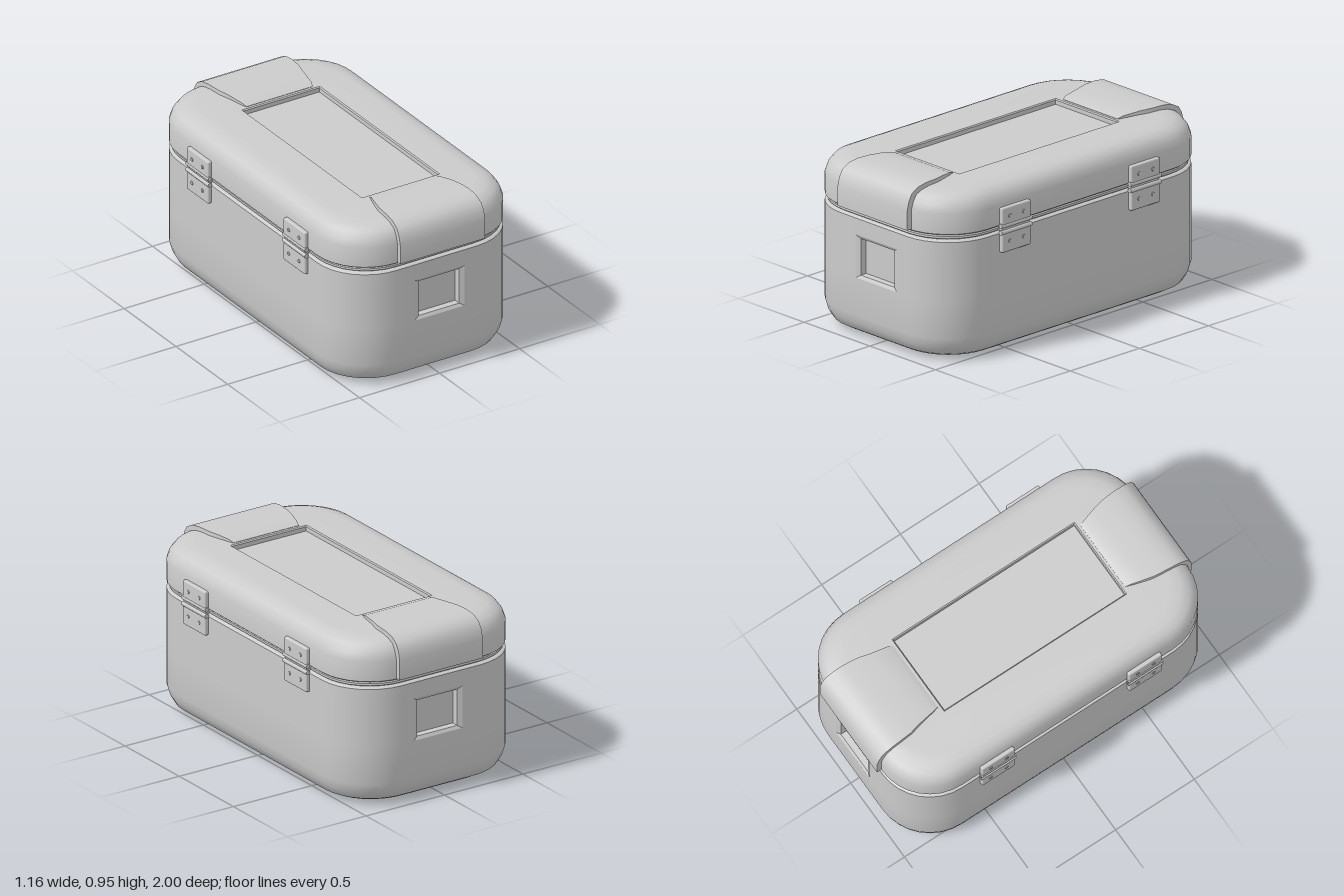
import * as THREE from 'three';
import { mergeGeometries, toCreasedNormals } from 'three/addons/utils/BufferGeometryUtils.js';
import { RoundedBoxGeometry } from 'three/addons/geometries/RoundedBoxGeometry.js';

const HX = 0.553, HZ = 0.972, R = 0.3;          // plan half sizes and corner radius
const CX = 0.02;                                // centre line of pockets and end covers
const FRAME = { w: 0.155, h: 0.12, y: 0.46 };   // half sizes and height of the end pockets
const SEG = 8;
const mat = new THREE.MeshStandardMaterial({ color: 0xcccccc, roughness: 0.8, side: THREE.DoubleSide });

function mesh(geo, name, x = 0, y = 0, z = 0) {
  const m = new THREE.Mesh(geo, mat);
  m.name = name;
  m.position.set(x, y, z);
  return m;
}

// Skin closed rings of points; optional end caps and skipped quads
function loft(rings, { start = false, end = false, skip = () => false } = {}) {
  const pos = [], n = rings[0].length;
  const tri = (...p) => p.forEach(v => pos.push(v.x, v.y, v.z));
  for (let i = 0; i < rings.length - 1; i++) {
    for (let j = 0; j < n; j++) {
      if (skip(i, j)) continue;
      const k = (j + 1) % n, a = rings[i][j], b = rings[i][k], c = rings[i + 1][k], d = rings[i + 1][j];
      tri(a, b, c);
      tri(a, c, d);
    }
  }
  const cap = (ring, flip) => {
    const mid = ring.reduce((s, p) => s.add(p), new THREE.Vector3()).divideScalar(n);
    ring.forEach((p, j) => {
      const q = ring[(j + 1) % n];
      flip ? tri(mid, q, p) : tri(mid, p, q);
    });
  };
  if (start) cap(rings[0], true);
  if (end) cap(rings[rings.length - 1], false);
  const g = new THREE.BufferGeometry();
  g.setAttribute('position', new THREE.Float32BufferAttribute(pos, 3));
  return g;
}

// Rounded-rectangle plan, with extra points on the ends at the pocket edges
function planRing(inset, y) {
  const hx = HX - inset, hz = HZ - inset, r = R - inset * 0.5, pts = [];
  const signs = [[1, -1], [-1, -1], [-1, 1], [1, 1]];
  signs.forEach(([sx, sz], c) => {
    for (let i = 0; i <= SEG; i++) {
      const a = (c + i / SEG) * Math.PI / 2;
      pts.push(new THREE.Vector3(sx * (hx - r) + r * Math.cos(a), y, sz * (hz - r) - r * Math.sin(a)));
    }
    if (c % 2 === 0) {
      for (const s of [sx, -sx]) pts.push(new THREE.Vector3(CX + s * FRAME.w, y, sz * hz));
    }
  });
  return pts;
}

// Rectangular recess opening towards +z; steps are [halfWidth, halfHeight, z]
function pocket(steps, name) {
  const rings = steps.map(([w, h, z]) =>
    [[-w, -h], [w, -h], [w, h], [-w, h]].map(([x, y]) => new THREE.Vector3(x, y, z)));
  return mesh(toCreasedNormals(loft(rings, { end: true }), 0.3), name);
}

function makeBody() {
  const g = new THREE.Group();
  g.name = 'body';
  const profile = [[0.12, 0], [0.075, 0.012], [0.035, 0.035], [0.012, 0.08], [0, 0.13],
    [0, FRAME.y - FRAME.h], [0, FRAME.y + FRAME.h], [0, 0.672], [0.008, 0.68], [0.035, 0.683]];
  const shell = loft(profile.map(p => planRing(...p)), {
    start: true, skip: (i, j) => i === 5 && (j === SEG + 1 || j === 3 * SEG + 5)
  });
  g.add(mesh(toCreasedNormals(shell, 0.7), 'tub'));
  for (const s of [1, -1]) {
    const p = pocket([[FRAME.w, FRAME.h, 0], [0.1275, 0.1025, -0.01], [0.124, 0.1, -0.045]], 'endPocket');
    p.position.set(CX, FRAME.y, s * HZ);
    if (s < 0) p.rotation.y = Math.PI;
    g.add(p);
  }
  // Recessed seal between tub and lid
  const seal = [[0.03, 0.675], [0.012, 0.688], [0.012, 0.7], [0.03, 0.715]].map(p => planRing(...p));
  g.add(mesh(toCreasedNormals(loft(seal), 0.5), 'seal'));
  return g;
}

// Cover wrapped over the lid end, narrowing towards the middle
function makeEndCover(innerZ, shift) {
  const profile = [[1, 0.72, 0.265], [1, 0.83, 0.265], [0.988, 0.88, 0.265], [0.965, 0.918, 0.264],
    [0.92, 0.942, 0.262], [0.86, 0.952, 0.26], [0.78, 0.952, 0.253], [0.71, 0.95, 0.236],
    [innerZ + 0.03, 0.943, 0.217], [innerZ, 0.932, 0.208]];
  const rings = profile.map(([z, y, w]) => {
    const zi = innerZ + (z - innerZ) * 0.8, yi = 0.72 + (y - 0.72) * 0.75;
    return [[w, y, z], [w, yi, zi], [-w, yi, zi], [-w, y, z]].map(p => new THREE.Vector3(...p));
  });
  return mesh(toCreasedNormals(loft(rings, { start: true, end: true }), 0.6), 'endCover', shift);
}

function makeLid() {
  const g = new THREE.Group();
  g.name = 'lid';
  const profile = [[0.04, 0.708], [0.008, 0.71], [0, 0.717], [0, 0.83], [0.012, 0.87], [0.035, 0.905],
    [0.075, 0.922], [0.12, 0.93]];
  const rings = profile.map(p => planRing(...p));
  // Top panel with an opening for the tray
  const [w, l, cx, cz] = [0.243, 0.58, 0.017, 0.02];
  const shape = new THREE.Shape(rings[rings.length - 1].map(p => new THREE.Vector2(p.x, -p.z)));
  shape.holes.push(new THREE.Path([[-w, -l], [-w, l], [w, l], [w, -l]].map(([x, y]) =>
    new THREE.Vector2(cx + x, y - cz))));
  const top = new THREE.ShapeGeometry(shape).toNonIndexed();
  top.rotateX(-Math.PI / 2).translate(0, 0.93, 0);
  top.deleteAttribute('normal');
  top.deleteAttribute('uv');
  g.add(mesh(toCreasedNormals(mergeGeometries([loft(rings), top]), 0.7), 'lidShell'));

  const tray = pocket([[w, l, 0], [w - 0.006, l - 0.006, -0.006], [w - 0.006, l - 0.006, -0.03]], 'topTray');
  tray.rotation.x = -Math.PI / 2;
  tray.position.set(cx, 0.93, cz);
  g.add(tray);

  const back = makeEndCover(0.575, CX);
  back.rotation.y = Math.PI;
  g.add(makeEndCover(0.615, CX), back);
  return g;
}

// Two leaves with screws around a ridged knuckle, facing +x
function makeHinge() {
  const g = new THREE.Group();
  g.name = 'hinge';
  for (const s of [1, -1]) {
    g.add(mesh(new RoundedBoxGeometry(0.04, 0.105, 0.208, 2, 0.008), 'hingeLeaf', 0.555, 0.69 + s * 0.072, 0));
    const ridge = new THREE.CylinderGeometry(0.013, 0.013, 0.22, 10).rotateX(Math.PI / 2);
    g.add(mesh(ridge, 'hingeRidge', 0.566, 0.696 + s * 0.018, 0));
    for (const z of [0.05, -0.05]) {
      const screw = new THREE.CylinderGeometry(0.009, 0.012, 0.006, 12).rotateZ(-Math.PI / 2);
      g.add(mesh(screw, 'screw', 0.576, 0.693 + s * 0.07, z));
    }
  }
  const pin = new THREE.CylinderGeometry(0.014, 0.014, 0.2, 10).rotateX(Math.PI / 2);
  g.add(mesh(pin, 'hingePin', 0.556, 0.696, 0));
  return g;
}

export function createModel() {
  const model = new THREE.Group();
  model.name = 'coolerBox';
  model.add(makeBody(), makeLid());
  for (const side of [1, -1]) {
    for (const z of [0.482, -0.452]) {
      const hinge = makeHinge();
      if (side < 0) hinge.rotation.y = Math.PI;
      hinge.position.z = z;
      model.add(hinge);
    }
  }
  return model;
}
